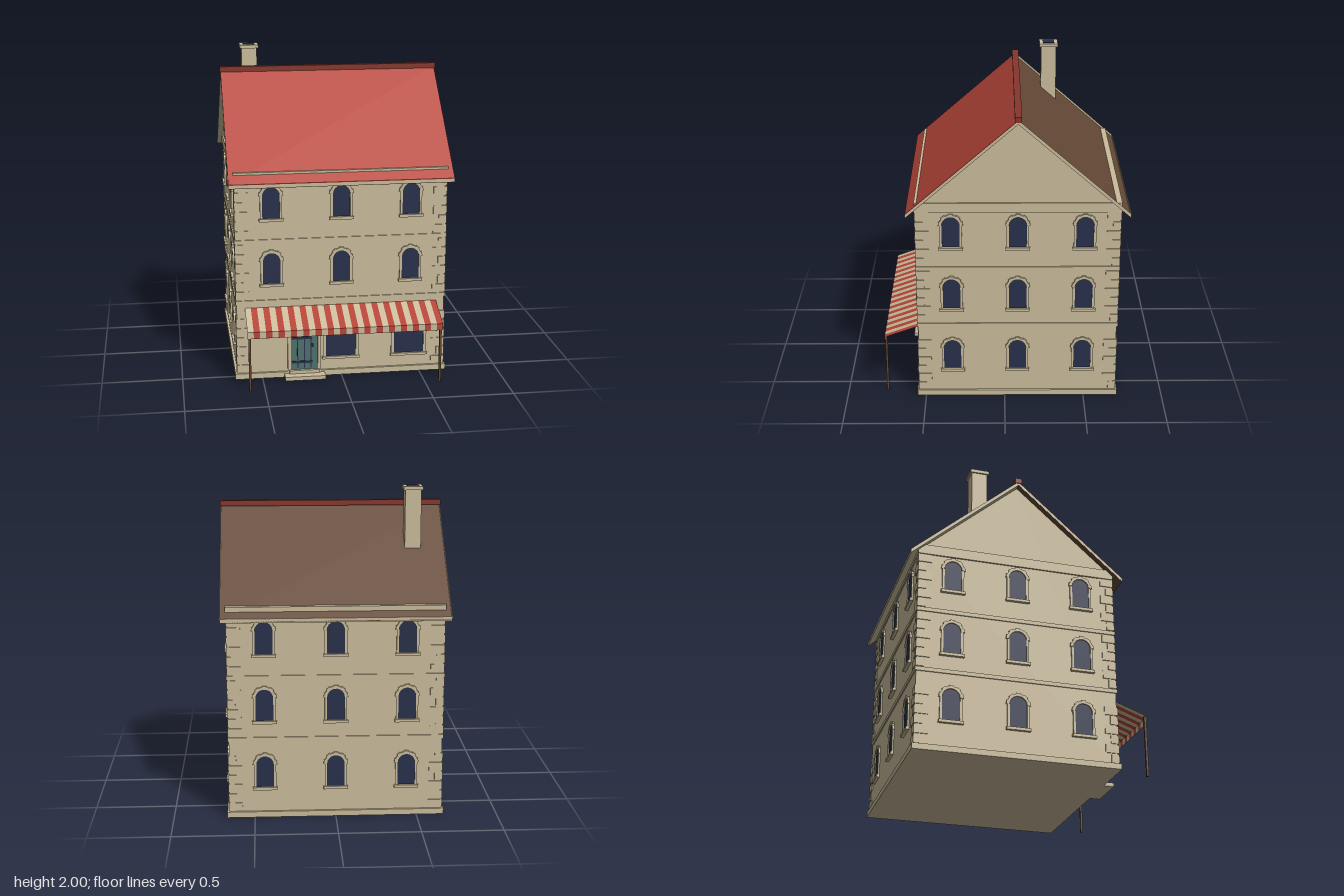
import * as THREE from 'three';

const mat = (name, color, side = THREE.FrontSide) => {
  const m = new THREE.MeshStandardMaterial({ color, side });
  m.name = name;
  return m;
};

export function createModel() {
  const stone = mat('stone', 0xcbbd9c);
  const red = mat('roof red', 0xb7463a);
  const ridgeRed = mat('ridge red', 0x86362c);
  const brown = mat('wood brown', 0x634734);
  const navy = mat('window navy', 0x28304a);
  const teal = mat('door teal', 0x4f726e);
  const clothRed = mat('awning red', 0xb7463a, THREE.DoubleSide);
  const clothCream = mat('awning cream', 0xcbbd9c, THREE.DoubleSide);

  const model = new THREE.Group();
  model.name = 'house';
  const house = new THREE.Group();
  house.name = 'building';
  house.position.z = -0.08;
  model.add(house);

  const add = (parent, name, geo, material, x = 0, y = 0, z = 0) => {
    const m = new THREE.Mesh(geo, material);
    m.name = name;
    m.position.set(x, y, z);
    parent.add(m);
    return m;
  };
  const box = (parent, name, material, w, h, d, x, y, z) =>
    add(parent, name, new THREE.BoxGeometry(w, h, d), material, x, y, z);
  const shapeOf = pts => new THREE.Shape(pts.map(p => new THREE.Vector2(...p)));
  const extrude = (shape, depth) =>
    new THREE.ExtrudeGeometry(shape, { depth, bevelEnabled: false, curveSegments: 10 });
  // Profile in (-z, y) swept along x, centred
  const prism = (pts, width) =>
    extrude(shapeOf(pts), width).translate(0, 0, -width / 2).rotateY(Math.PI / 2);

  const HW = 0.655, HD = 0.62; // half width and half depth of the walls

  // Walls with gables, plinth, string courses and cornice
  add(house, 'walls', prism([[-HD, 0.01], [HD, 0.01], [HD, 1.294], [0, 1.836], [-HD, 1.294]], 2 * HW), stone);
  box(house, 'plinth', stone, 1.34, 0.036, 1.27, 0, 0.018, 0);
  for (const y of [0.502, 0.892])
    box(house, 'stringCourse', stone, 1.325, 0.025, 1.255, 0, y, 0);
  box(house, 'cornice', stone, 1.33, 0.063, 1.255, 0, 1.2975, 0);

  // Quoins alternate long and short at each corner
  for (let floor = 0; floor < 3; floor++)
    for (let i = 0; i < 6; i++) {
      const y = 0.036 + floor * 0.39 + 0.03 + i * 0.0605 + (floor ? 0.09 : 0);
      if (y > 1.25) continue;
      const [w, d] = i % 2 ? [0.05, 0.085] : [0.085, 0.05];
      for (const sx of [-1, 1]) for (const sz of [-1, 1])
        box(house, 'quoin', stone, w, 0.052, d,
          sx * (HW + 0.006 - w / 2), y, sz * (HD + 0.006 - d / 2));
    }

  // Arched window standing on y = 0 in front of a wall at z = 0
  const R = 0.056, SPRING = 0.145;
  const paneShape = new THREE.Shape();
  paneShape.moveTo(-R, 0).lineTo(R, 0).lineTo(R, SPRING);
  paneShape.absarc(0, SPRING, R, 0, Math.PI, false);
  paneShape.closePath();
  const paneGeo = extrude(paneShape, 0.004);
  const STONES = 9, step = Math.PI / STONES;
  const voussoirGeos = Array.from({ length: STONES }, (_, i) => {
    const a = i * step, b = a + step, out = i % 2 ? 0.071 : 0.076;
    const at = (r, t) => [r * Math.cos(t), SPRING + r * Math.sin(t)];
    return extrude(shapeOf([at(0.054, a), at(out, a), at(out, b), at(0.054, b)]), 0.012);
  });
  const archedWindow = () => {
    const g = new THREE.Group();
    g.name = 'archedWindow';
    add(g, 'glass', paneGeo, navy);
    voussoirGeos.forEach(geo => add(g, 'archStone', geo, stone));
    for (const s of [-1, 1])
      box(g, 'jamb', stone, 0.014, SPRING, 0.01, s * 0.061, SPRING / 2, 0.005);
    box(g, 'sill', stone, 0.15, 0.018, 0.02, 0, -0.009, 0.01);
    return g;
  };

  // Four facades share one layout; the front ground floor is a shop
  const facades = [
    ['frontFacade', 0, HD, 0.435, 1], ['backFacade', Math.PI, HD, 0.435, 0],
    ['leftFacade', Math.PI / 2, HW, 0.408, 0], ['rightFacade', -Math.PI / 2, HW, 0.408, 0],
  ];
  const wall = {};
  for (const [name, angle, dist, gap, first] of facades) {
    const g = wall[name] = new THREE.Group();
    g.name = name;
    g.rotation.y = angle;
    g.position.set(Math.sin(angle) * dist, 0, Math.cos(angle) * dist);
    house.add(g);
    [0.195, 0.62, 1.037].slice(first).forEach(y => {
      for (const i of [-1, 0, 1]) {
        const w = archedWindow();
        w.position.set(i * gap, y, 0);
        g.add(w);
      }
    });
  }

  // Shop windows
  const front = wall.frontFacade;
  for (const x of [-0.003, 0.432]) {
    box(front, 'shopGlass', navy, 0.19, 0.28, 0.008, x, 0.265, 0.002);
    for (const s of [-1, 1])
      box(front, 'shopFrame', stone, 0.018, 0.28, 0.012, x + s * 0.104, 0.265, 0.006);
    box(front, 'shopLintel', stone, 0.226, 0.02, 0.012, x, 0.415, 0.006);
    box(front, 'shopSill', stone, 0.235, 0.016, 0.02, x, 0.117, 0.01);
  }

  // Door with planks, straps, knob and steps
  const DX = -0.235;
  box(front, 'door', teal, 0.17, 0.36, 0.008, DX, 0.225, 0.004);
  for (const dx of [-0.042, 0, 0.042])
    box(front, 'plankGap', navy, 0.006, 0.25, 0.004, DX + dx, 0.18, 0.009);
  for (const y of [0.095, 0.255])
    box(front, 'doorStrap', navy, 0.13, 0.015, 0.005, DX - 0.015, y, 0.01);
  box(front, 'doorKnob', navy, 0.016, 0.02, 0.012, DX + 0.05, 0.205, 0.012);
  for (const s of [-1, 1])
    box(front, 'doorFrame', stone, 0.02, 0.38, 0.014, DX + s * 0.095, 0.225, 0.007);
  box(front, 'doorLintel', stone, 0.21, 0.02, 0.014, DX, 0.415, 0.007);
  box(front, 'lowerStep', stone, 0.255, 0.024, 0.085, DX, 0.012, 0.038);
  box(front, 'upperStep', stone, 0.19, 0.022, 0.03, DX, 0.034, 0.012);

  // Striped awning: sloping cloth with a hanging valance
  const N = 32, SW = 1.21 / N;
  for (let i = 0; i < N; i++) {
    const a = -0.605 + i * SW, b = a + SW;
    const geo = new THREE.BufferGeometry();
    const rows = [[0.465, 0.54], [0.385, 0.76], [0.385, 0.76], [0.343, 0.76]];
    geo.setAttribute('position', new THREE.Float32BufferAttribute(
      rows.flatMap(([y, z]) => [a, y, z, b, y, z]), 3));
    geo.setIndex([0, 2, 1, 1, 2, 3, 4, 6, 5, 5, 6, 7]);
    geo.computeVertexNormals();
    add(model, 'awningStripe', geo, i % 2 ? clothRed : clothCream);
  }
  for (const s of [-1, 1])
    box(model, 'awningPost', brown, 0.014, 0.385, 0.014, s * 0.592, 0.1925, 0.748);

  // Roof layers follow the slope; top and bottom are drops below the roof line
  const EZ = 0.68, EY = 1.269, RY = 1.864;
  const layer = (name, material, s, top, bottom, width, x = 0, from = 0) => {
    const y = u => RY + (EY - RY) * u / EZ;
    const pts = [[-s * from, y(from) - bottom], [-s * EZ, EY - bottom],
      [-s * EZ, EY - top], [-s * from, y(from) - top]];
    add(house, name, prism(pts, width), material, x);
  };
  // Front slope: red tiles over a stone-edged slab with a wooden underside
  layer('frontTiles', red, 1, 0, 0.004, 1.39);
  layer('frontSlab', stone, 1, 0.004, 0.024, 1.39);
  layer('frontSoffit', brown, 1, 0.024, 0.026, 1.386);
  // Back slope: boards set slightly below thin stone edging
  layer('backBoards', brown, -1, 0.016, 0.02, 1.386);
  layer('backSlab', stone, -1, 0.02, 0.026, 1.386);
  for (const s of [-1, 1])
    layer('backBargeboard', stone, -1, 0, 0.026, 0.003, s * 0.6935);
  layer('backFascia', stone, -1, 0, 0.026, 1.384, 0, EZ - 0.003);
  box(house, 'ridge', ridgeRed, 1.4, 0.034, 0.042, 0, 1.868, 0);

  // Chimney
  box(house, 'chimneyShaft', stone, 0.1, 0.48, 0.1, -0.497, 1.74, -0.217);
  box(house, 'chimneyCap', stone, 0.12, 0.022, 0.12, -0.497, 1.987, -0.217);
  box(house, 'flueOpening', navy, 0.074, 0.004, 0.074, -0.497, 1.998, -0.217);

  return model;
}
